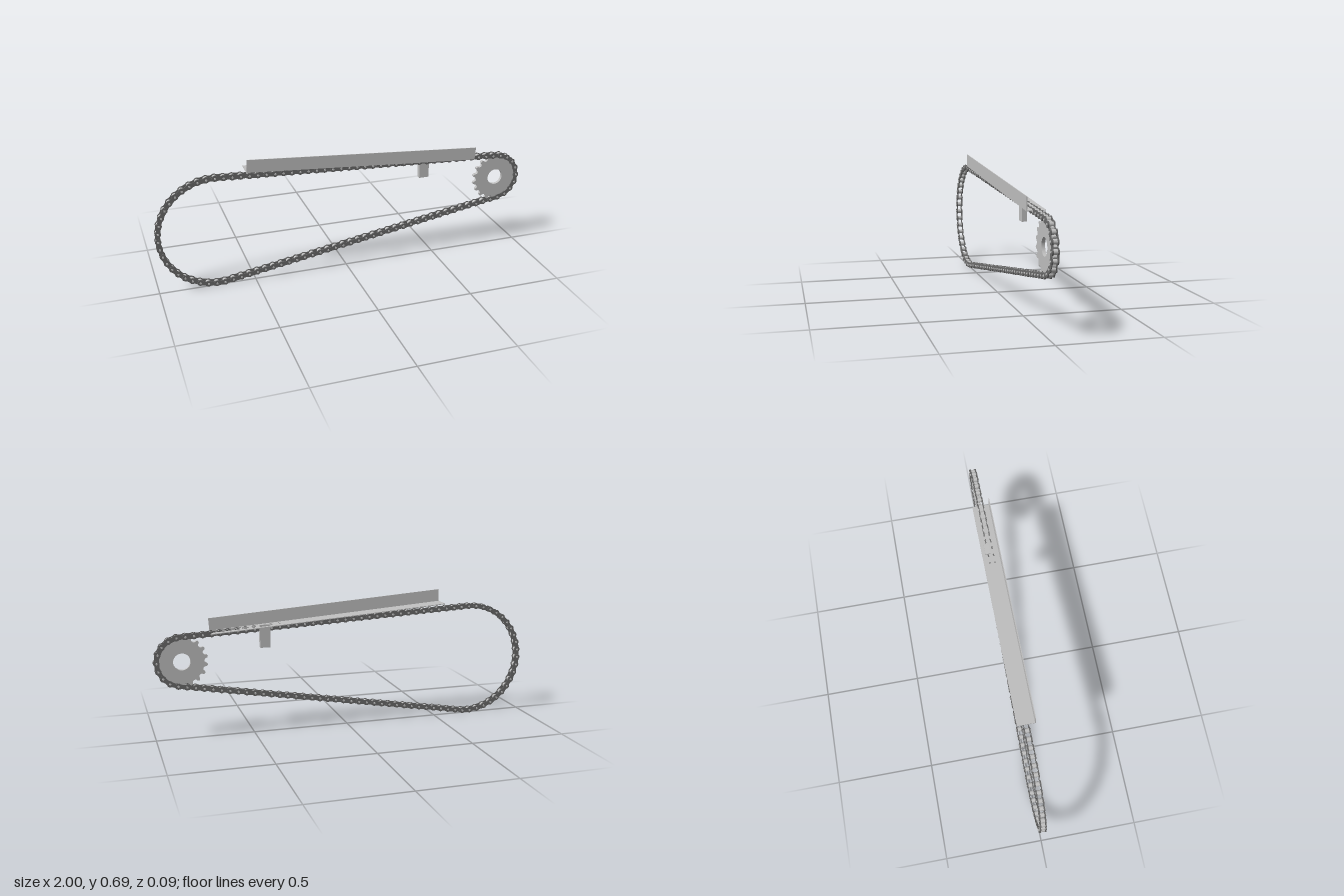
import * as THREE from 'three';
import { mergeGeometries } from 'three/addons/utils/BufferGeometryUtils.js';

const steel = new THREE.MeshStandardMaterial({ color: 0xc0c0c0 });
steel.name = 'light steel';
const darkSteel = new THREE.MeshStandardMaterial({ color: 0x6a6a6a });
darkSteel.name = 'dark steel';

const TEETH = 18, LINKS = 102;
const REAR = { x: -0.692, y: 0.307, r: 0.292 };
const FRONT = { x: 0.857, y: 0.4, r: 0.125 };

function addMesh(parent, name, geometry, material) {
  const mesh = new THREE.Mesh(geometry, material);
  mesh.name = name;
  parent.add(mesh);
  return mesh;
}

// Closed belt path around the two circles, starting at the far right
function chainPath() {
  const dx = FRONT.x - REAR.x, dy = FRONT.y - REAR.y;
  const axis = Math.atan2(dy, dx);
  const phi = Math.acos((REAR.r - FRONT.r) / Math.hypot(dx, dy));
  const up = axis + phi, down = axis - phi;
  const at = (c, a) => new THREE.Vector2(c.x + c.r * Math.cos(a), c.y + c.r * Math.sin(a));
  const arc = (c, a, b) => new THREE.EllipseCurve(c.x, c.y, c.r, c.r, a, b, false);
  const path = new THREE.CurvePath();
  path.add(arc(FRONT, 0, up));
  path.add(new THREE.LineCurve(at(FRONT, up), at(REAR, up)));
  path.add(arc(REAR, up, down + Math.PI * 2));
  path.add(new THREE.LineCurve(at(REAR, down), at(FRONT, down)));
  path.add(arc(FRONT, down, 0));
  return path;
}

// Waisted link plate, centred on its own middle
function plateGeometry(pitch, radius, thickness) {
  const h = pitch / 2, a = 1.0;
  const s = new THREE.Shape();
  s.absarc(h, 0, radius, -Math.PI + a, Math.PI - a, false);
  s.quadraticCurveTo(0, radius * 0.55, -h + radius * Math.cos(a), radius * Math.sin(a));
  s.absarc(-h, 0, radius, a, Math.PI * 2 - a, false);
  s.quadraticCurveTo(0, -radius * 0.55, h - radius * Math.cos(a), -radius * Math.sin(a));
  const g = new THREE.ExtrudeGeometry(s, { depth: thickness, bevelEnabled: false, curveSegments: 8 });
  return g.translate(0, 0, -thickness / 2);
}

function createChain() {
  const chain = new THREE.Group();
  chain.name = 'chain';
  const path = chainPath();
  const pitch = path.getLength() / LINKS;
  const plate = plateGeometry(pitch, 0.0155, 0.003);
  const roller = new THREE.CylinderGeometry(0.0125, 0.0125, 0.02, 16).rotateX(Math.PI / 2);
  const pin = new THREE.CylinderGeometry(0.0055, 0.0055, 0.04, 10).rotateX(Math.PI / 2);
  const inner = [], outer = [], rollers = [], pins = [];

  for (let i = 0; i < LINKS; i++) {
    const p = path.getPoint(i / LINKS), q = path.getPoint(((i + 1) % LINKS) / LINKS);
    rollers.push(roller.clone().translate(p.x, p.y, 0));
    pins.push(pin.clone().translate(p.x, p.y, 0));
    // Inner and outer links alternate
    const list = i % 2 ? outer : inner;
    const z = i % 2 ? 0.0152 : 0.0115;
    for (const side of [-1, 1]) {
      list.push(plate.clone()
        .rotateZ(Math.atan2(q.y - p.y, q.x - p.x))
        .translate((p.x + q.x) / 2, (p.y + q.y) / 2, side * z));
    }
  }
  addMesh(chain, 'innerPlates', mergeGeometries(inner), darkSteel);
  addMesh(chain, 'outerPlates', mergeGeometries(outer), darkSteel);
  addMesh(chain, 'rollers', mergeGeometries(rollers), steel);
  addMesh(chain, 'pins', mergeGeometries(pins), steel);
  return chain;
}

// Toothed disc with round roller seats and a centre bore
function sprocketGeometry() {
  const s = new THREE.Shape();
  const seat = 0.0133, step = (Math.PI * 2) / TEETH, depth = 0.017;
  for (let i = 0; i < TEETH; i++) {
    const a = i * step;
    const cx = FRONT.r * Math.cos(a), cy = FRONT.r * Math.sin(a);
    for (let k = 0; k <= 8; k++) {
      const b = a - Math.PI / 2 - (k / 8) * Math.PI;
      const x = cx + seat * Math.cos(b), y = cy + seat * Math.sin(b);
      if (i === 0 && k === 0) s.moveTo(x, y);
      else s.lineTo(x, y);
    }
    // Blunt tooth tip
    for (const f of [0.42, 0.5, 0.58]) {
      const r = f === 0.5 ? 0.131 : 0.1295;
      s.lineTo(r * Math.cos(a + f * step), r * Math.sin(a + f * step));
    }
  }
  const bore = new THREE.Path();
  bore.absarc(0, 0, 0.043, 0, Math.PI * 2, true);
  s.holes.push(bore);
  const g = new THREE.ExtrudeGeometry(s, { depth, bevelEnabled: false, curveSegments: 32 });
  return g.translate(0, 0, -depth / 2);
}

// Sloping angle-section guard: upright front flange and flat base
function createGuard() {
  const guard = new THREE.Group();
  guard.name = 'guard';
  const length = 1.242, t = 0.004;
  addMesh(guard, 'guardFlange', new THREE.BoxGeometry(length, 0.067, t), steel)
    .position.set(0, 0.0335, 0.045);
  addMesh(guard, 'guardBase', new THREE.BoxGeometry(length, t, 0.088), steel)
    .position.set(0, t / 2, -0.001);
  guard.position.set(0.088, 0.579, 0);
  guard.rotation.z = -0.0705;
  return guard;
}

export function createModel() {
  const model = new THREE.Group();
  model.name = 'chainDrive';
  model.add(createChain(), createGuard());
  addMesh(model, 'sprocket', sprocketGeometry(), steel).position.set(FRONT.x, FRONT.y, 0);
  // Mounting post under the guard
  addMesh(model, 'post', new THREE.BoxGeometry(0.053, 0.118, 0.026), steel)
    .position.set(0.438, 0.508, -0.014);
  return model;
}
